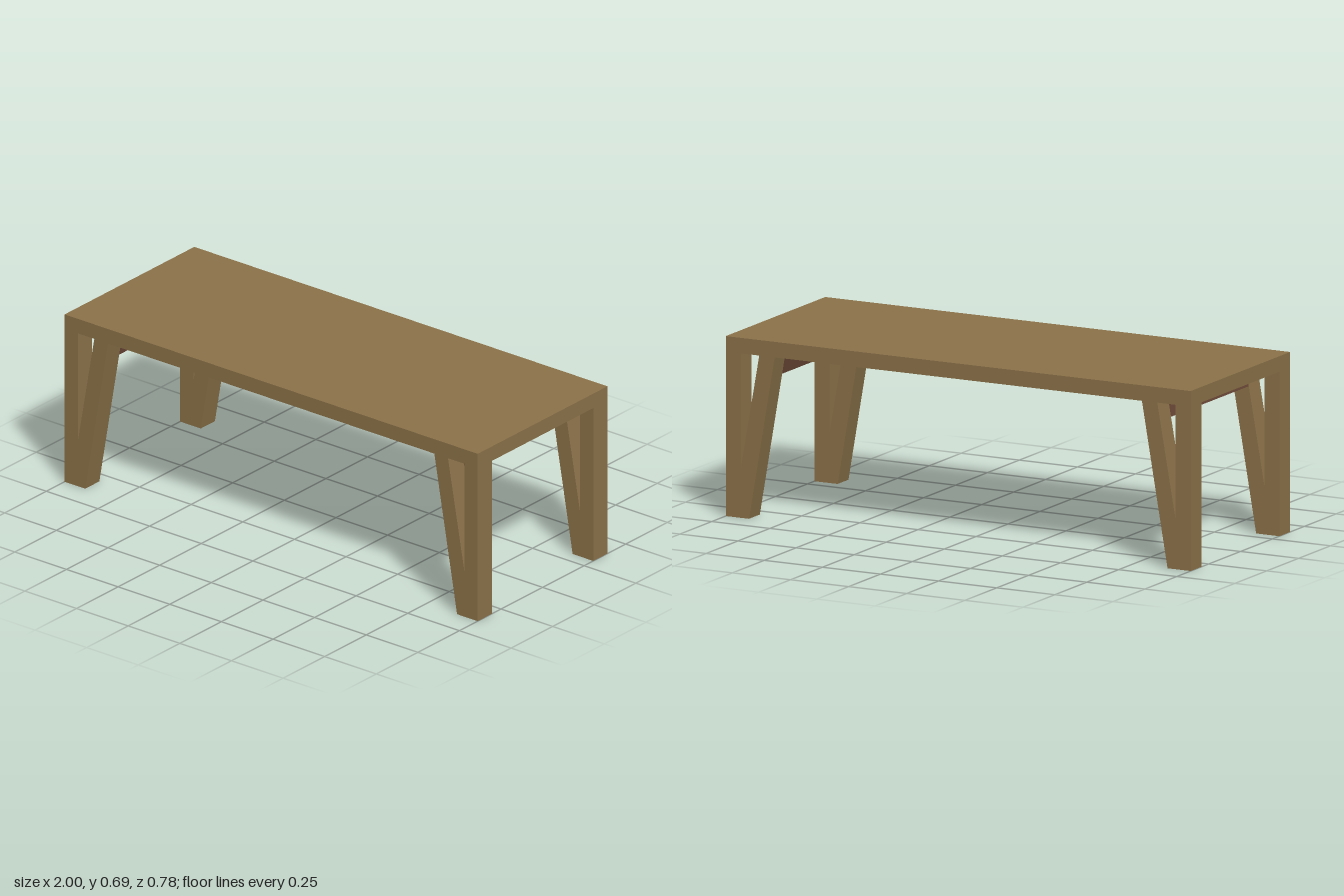
import * as THREE from 'three';

// Main dimensions
const HALF_L = 1, HALF_W = 0.39, HEIGHT = 0.695;
const LEG_X = 0.935;   // inner side of the legs and end rails
const LEG_Z = 0.305;   // inner side of the legs and long rails
const UNDER = 0.635;   // underside of the tabletop

export function createModel() {
  const wood = new THREE.MeshStandardMaterial({ color: 0x8b7249 });
  wood.name = 'oak brown';
  const darkWood = new THREE.MeshStandardMaterial({ color: 0x6b4836 });
  darkWood.name = 'reddish brown';

  const model = new THREE.Group();
  model.name = 'table';

  // Box given by its lower and upper corners
  function box(name, x0, x1, y0, y1, z0, z1) {
    const mesh = new THREE.Mesh(new THREE.BoxGeometry(x1 - x0, y1 - y0, z1 - z0), wood);
    mesh.position.set((x0 + x1) / 2, (y0 + y1) / 2, (z0 + z1) / 2);
    mesh.name = name;
    model.add(mesh);
  }

  // Side profile in x/y, mirrored by side, extruded from z0 to z1
  function prism(name, points, side, z0, z1, material) {
    const shape = new THREE.Shape(points.map(([x, y]) => new THREE.Vector2(x * side, y)));
    const geometry = new THREE.ExtrudeGeometry(shape, { depth: z1 - z0, bevelEnabled: false });
    const mesh = new THREE.Mesh(geometry, material);
    mesh.position.z = z0;
    mesh.name = name;
    model.add(mesh);
  }

  // Tabletop panel, framed flush by rails
  box('topPanel', -LEG_X, LEG_X, UNDER, HEIGHT, -LEG_Z, LEG_Z);
  box('frontRail', -LEG_X, LEG_X, UNDER, HEIGHT, LEG_Z, HALF_W);
  box('backRail', -LEG_X, LEG_X, UNDER, HEIGHT, -HALF_W, -LEG_Z);
  box('leftRail', LEG_X, HALF_L, UNDER, HEIGHT, -LEG_Z, LEG_Z);
  box('rightRail', -HALF_L, -LEG_X, UNDER, HEIGHT, -LEG_Z, LEG_Z);

  // Slanted brace, its foot cut flush against the upright leg
  const brace = [[0.9, 0], [LEG_X, 0], [LEG_X, 0.19], [0.856, UNDER], [0.79, UNDER]];
  // Crossbar tilted to follow the braces
  const crossbar = [[0.804, 0.554], [0.868, 0.565], [0.856, UNDER], [0.79, UNDER]];

  for (const side of [-1, 1]) {
    const end = side > 0 ? 'left' : 'right';
    const [x0, x1] = side > 0 ? [LEG_X, HALF_L] : [-HALF_L, -LEG_X];
    for (const [row, z0, z1] of [['Front', LEG_Z, HALF_W], ['Back', -HALF_W, -LEG_Z]]) {
      box(`${end}${row}Leg`, x0, x1, 0, HEIGHT, z0, z1);
      prism(`${end}${row}Brace`, brace, side, z0, z1, wood);
    }
    prism(`${end}Crossbar`, crossbar, side, -LEG_Z, LEG_Z, darkWood);
  }
  return model;
}
